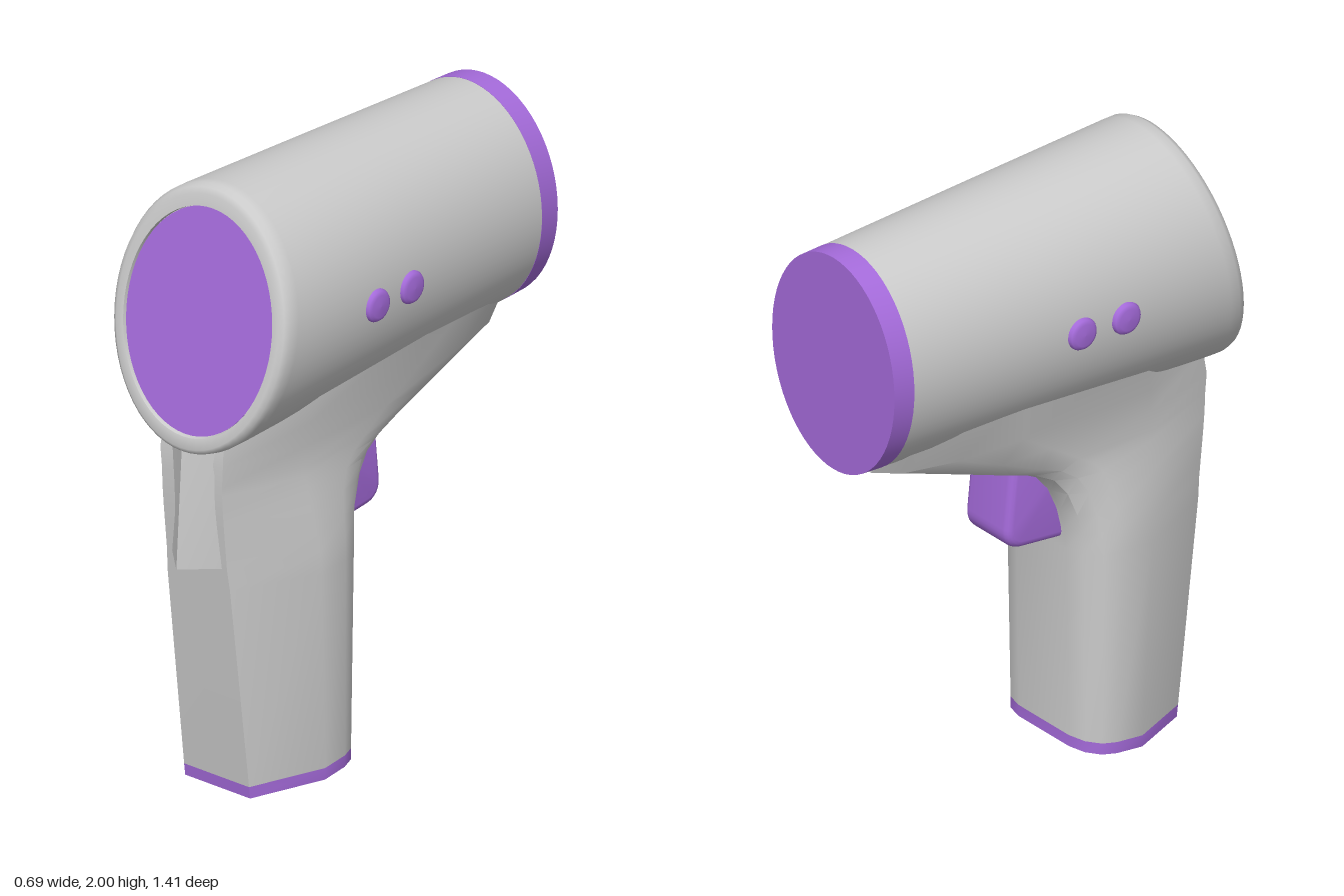
import * as THREE from 'three';
import { toCreasedNormals } from 'three/addons/utils/BufferGeometryUtils.js';

// Skin closed rings (counter-clockwise about the loft direction), capped at both ends
function loft(rings, crease = 0.6) {
  const n = rings[0].length, pos = rings.flat(2), idx = [];
  for (let k = 0; k < rings.length - 1; k++) {
    for (let i = 0; i < n; i++) {
      const j = (i + 1) % n, a = k * n + i, b = k * n + j;
      idx.push(a, b, b + n, a, b + n, a + n);
    }
  }
  [0, rings.length - 1].forEach((k, end) => {
    const c = [0, 1, 2].map(d => rings[k].reduce((s, p) => s + p[d], 0) / n);
    const m = pos.length / 3;
    pos.push(...c);
    for (let i = 0; i < n; i++) {
      const a = k * n + i, b = k * n + (i + 1) % n;
      idx.push(m, ...(end ? [a, b] : [b, a]));
    }
  });
  const g = new THREE.BufferGeometry();
  g.setAttribute('position', new THREE.Float32BufferAttribute(pos, 3));
  g.setIndex(idx);
  return toCreasedNormals(g, crease);
}

// Upright ellipse; shear leans it so its foot sits further forward
function ellipse([z, a, b, yc = 1.585, shear = 0]) {
  return Array.from({ length: 64 }, (_, i) => {
    const t = i / 64 * Math.PI * 2, s = Math.sin(t);
    return [a * Math.cos(t), yc + b * s, z - shear * s];
  });
}

// Grip section: flat front, angled cheeks, rounded rear; low sections follow the tilted base
function gripRing([y, fx, zf, w, zs, rx, zr]) {
  const d = zs - zr;
  const half = [[fx, zf], [w, zs], [w * 0.985, zr + d * 0.5],
    [w * 0.92, zr + d * 0.26], [(w + rx) / 2, zr + d * 0.08], [rx, zr]];
  const all = [...half, ...half.slice().reverse().map(([x, z]) => [-x, z])];
  const tilt = 0.085 * Math.max(0, 1 - y / 0.7);
  return all.map(([x, z]) => [x, y + (0.52 - z) * tilt, z]);
}

export function createModel() {
  const group = new THREE.Group();
  const grey = new THREE.MeshStandardMaterial({ color: 0xcccccc });
  const purple = new THREE.MeshStandardMaterial({ color: 0xa56bdb });
  const add = (name, geometry, material) => {
    const mesh = new THREE.Mesh(geometry, material);
    mesh.name = name;
    group.add(mesh);
    return mesh;
  };

  // Barrel with rounded, slanted front rim and shallow recess
  add('barrel', loft([
    [-0.63, 0.297, 0.366, 1.583, 0],
    [-0.03, 0.321, 0.39, 1.585, 0.04],
    [0.55, 0.344, 0.413, 1.586, 0.076],
    [0.585, 0.342, 0.414, 1.586, 0.078],
    [0.605, 0.333, 0.407, 1.584, 0.08],
    [0.614, 0.317, 0.39, 1.582, 0.08],
    [0.612, 0.292, 0.354, 1.58, 0.071],
    [0.598, 0.29, 0.351, 1.58, 0.07],
  ].map(ellipse), 0.9), grey);
  add('frontPanel', loft([[0.59, 0.289, 0.35, 1.58, 0.07],
    [0.602, 0.289, 0.35, 1.58, 0.07]].map(ellipse)), purple);
  add('rearCap', loft([[-0.705, 0.295, 0.364, 1.583],
    [-0.63, 0.298, 0.367, 1.583]].map(ellipse)), purple);

  // Grip and flared neck: y, front half width, front z, half width, widest z, rear half width, rear z
  const base = [0, 0.13, 0.52, 0.238, 0.3, 0.12, 0.11];
  const baseTop = [0.04, 0.13, 0.525, 0.239, 0.3, 0.12, 0.11];
  add('gripBase', loft([base, baseTop].map(gripRing)), purple);
  add('gripAndNeck', loft([
    baseTop,
    [0.72, 0.125, 0.607, 0.25, 0.33, 0.12, 0.098],
    [0.79, 0.12, 0.615, 0.246, 0.33, 0.12, 0.092],
    [0.86, 0.12, 0.622, 0.237, 0.34, 0.12, 0.075],
    [0.94, 0.12, 0.63, 0.224, 0.35, 0.12, 0.04],
    [1.0, 0.12, 0.635, 0.214, 0.35, 0.115, -0.01],
    [1.04, 0.12, 0.637, 0.208, 0.36, 0.11, -0.09],
    [1.07, 0.12, 0.638, 0.205, 0.36, 0.105, -0.19],
    [1.14, 0.125, 0.64, 0.207, 0.36, 0.1, -0.4],
    [1.218, 0.12, 0.63, 0.218, 0.35, 0.09, -0.63],
    [1.4, 0.12, 0.58, 0.262, 0.3, 0.19, -0.63],
  ].map(gripRing)), grey);

  // Pointed ridge below the front rim, stepped off at its foot
  add('frontRidge', loft([
    [[0, 0.79, 0.71], [0.115, 0.79, 0.6], [-0.115, 0.79, 0.6]],
    [[0, 1.19, 0.685], [0.115, 1.19, 0.62], [-0.115, 1.19, 0.62]],
  ]), grey);

  // Trigger, drawn in side profile and extruded across the grip
  const profile = new THREE.Shape();
  profile.moveTo(0.15, 0.775);
  profile.lineTo(0.09, 0.775);
  profile.lineTo(-0.05, 0.79);
  profile.quadraticCurveTo(-0.095, 0.795, -0.09, 0.84);
  profile.lineTo(-0.068, 1.05);
  profile.lineTo(0.15, 1.05);
  const trigger = new THREE.ExtrudeGeometry(profile, {
    depth: 0.16, bevelThickness: 0.025, bevelSize: 0.025, bevelSegments: 4, curveSegments: 8,
  });
  trigger.translate(0, 0, -0.08).rotateY(-Math.PI / 2);
  add('trigger', toCreasedNormals(trigger, 0.6), purple);

  // Two domed buttons on each side
  const dome = [[0.053, -0.02], [0.053, 0.004], [0.048, 0.012], [0.036, 0.018], [0, 0.02]];
  const button = new THREE.LatheGeometry(dome.map(p => new THREE.Vector2(...p)), 32);
  for (const side of [-1, 1]) {
    for (const [z, x] of [[0, 0.32], [0.165, 0.327]]) {
      const mesh = add(side > 0 ? 'leftButton' : 'rightButton', button, purple);
      mesh.position.set(side * x, 1.58, z);
      mesh.rotation.z = -side * Math.PI / 2;
    }
  }
  return group;
}
